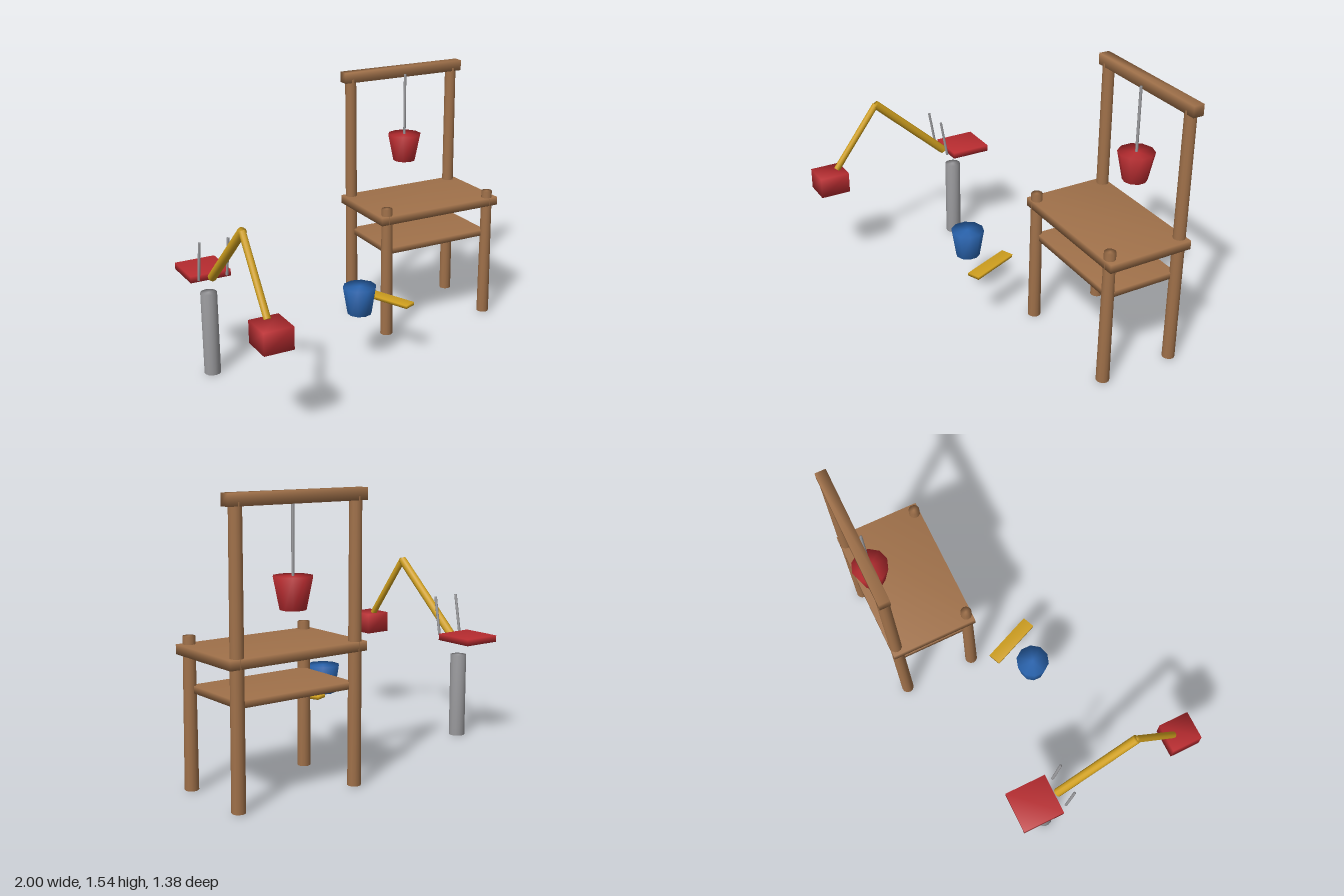
import * as THREE from 'three';
import { mergeVertices } from 'three/addons/utils/BufferGeometryUtils.js';

function material(name, color) {
  const m = new THREE.MeshStandardMaterial({ color });
  m.name = name;
  return m;
}

// Welds corners so shading runs smoothly over the edges
function weld(geometry) {
  geometry.deleteAttribute('uv');
  geometry.deleteAttribute('normal');
  const g = mergeVertices(geometry, 1e-4);
  g.computeVertexNormals();
  return g;
}

export function createModel() {
  const model = new THREE.Group();
  const wood = material('wood', 0xa0714a);
  const red = material('red', 0xb82c30);
  const blue = material('blue', 0x2a65b0);
  const yellow = material('yellow', 0xcf9f1f);
  const metal = material('metal', 0x9c9c9f);

  function add(parent, name, geometry, mat) {
    const mesh = new THREE.Mesh(weld(geometry), mat);
    mesh.name = name;
    parent.add(mesh);
    return mesh;
  }
  // Box given by its minimum and maximum corners
  function box(parent, name, min, max, mat) {
    const s = max.map((v, i) => v - min[i]);
    const mesh = add(parent, name, new THREE.BoxGeometry(...s), mat);
    mesh.position.set(...min.map((v, i) => v + s[i] / 2));
    return mesh;
  }
  // Rod between two points
  function rod(parent, name, from, to, rFrom, rTo, sides, mat) {
    const a = new THREE.Vector3(...from), b = new THREE.Vector3(...to);
    const dir = b.clone().sub(a);
    const mesh = add(parent, name, new THREE.CylinderGeometry(rTo, rFrom, dir.length(), sides), mat);
    mesh.position.copy(a).add(b).multiplyScalar(0.5);
    mesh.quaternion.setFromUnitVectors(new THREE.Vector3(0, 1, 0), dir.normalize());
    return mesh;
  }
  function group(name) {
    const g = new THREE.Group();
    g.name = name;
    model.add(g);
    return g;
  }

  // Wooden bench with a tall rear frame
  const bench = group('bench');
  for (const x of [0.231, 0.942]) {
    rod(bench, 'frontLeg', [x, 0.01, -0.19], [x, 0.81, -0.19], 0.037, 0.032, 12, wood);
    rod(bench, 'rearPost', [x, 0.01, -0.628], [x, 1.5, -0.628], 0.036, 0.033, 12, wood);
  }
  box(bench, 'benchTop', [0.18, 0.718, -0.662], [1, 0.768, -0.158], wood);
  box(bench, 'lowerShelf', [0.235, 0.52, -0.625], [0.938, 0.557, -0.19], wood);
  box(bench, 'topBeam', [0.18, 1.48, -0.66], [1, 1.543, -0.597], wood);

  // Bucket hanging from the beam
  const hanging = group('hangingBucket');
  rod(hanging, 'rope', [0.585, 1.1, -0.585], [0.585, 1.5, -0.585], 0.008, 0.008, 8, metal);
  rod(hanging, 'redBucket', [0.585, 0.96, -0.585], [0.585, 1.126, -0.585], 0.069, 0.103, 10, red);

  // Loose bucket and plank
  rod(model, 'blueBucket', [-0.099, 0.32, 0.072], [-0.099, 0.482, 0.072], 0.07, 0.096, 10, blue);
  const plank = add(model, 'plank', new THREE.BoxGeometry(0.075, 0.018, 0.314), yellow);
  plank.position.set(0.11, 0.346, 0.036);
  plank.rotation.y = 0.4;

  // Digger: pillar, seat, control levers, jointed arm and scoop
  const digger = group('digger');
  const x = -0.883;
  rod(digger, 'pillar', [x, 0.004, -0.236], [x, 0.495, -0.236], 0.047, 0.047, 14, metal);
  box(digger, 'seat', [-1, 0.588, -0.43], [-0.766, 0.626, -0.188], red);
  for (const side of [-1, 1]) {
    const lx = x + side * 0.082;
    rod(digger, 'lever', [lx, 0.61, -0.157], [lx, 0.838, -0.117], 0.008, 0.008, 8, metal);
  }
  rod(digger, 'upperArm', [x, 0.608, -0.169], [x, 1.015, 0.28], 0.025, 0.025, 10, yellow);
  rod(digger, 'forearm', [x, 1.015, 0.28], [x, 0.645, 0.555], 0.019, 0.019, 10, yellow);
  box(digger, 'scoop', [-0.966, 0.518, 0.511], [-0.802, 0.642, 0.69], red);

  return model;
}
